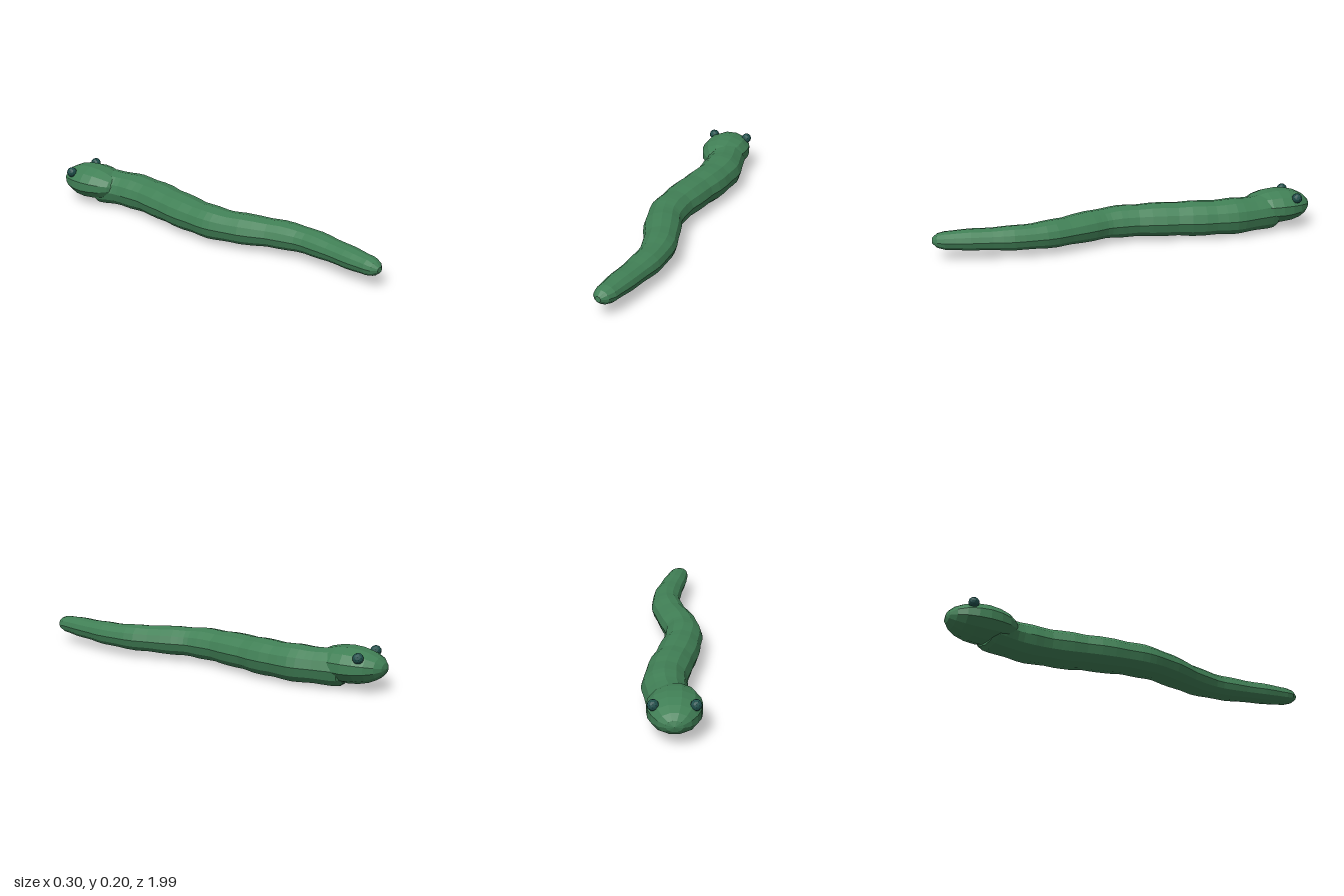
import * as THREE from 'three';

const SIDES = 12, RINGS = 36;

// Spine stations: z, x, half width, half height
const SPINE = [
  [-0.77, 0.005, 0.104, 0.09], [-0.66, 0.03, 0.105, 0.091], [-0.55, 0.039, 0.107, 0.091],
  [-0.4, 0.024, 0.106, 0.09], [-0.2, -0.02, 0.104, 0.086], [0, -0.052, 0.096, 0.081],
  [0.1, -0.05, 0.094, 0.078], [0.2, -0.028, 0.093, 0.075], [0.4, 0.027, 0.084, 0.068],
  [0.55, 0.037, 0.075, 0.062], [0.7, 0.015, 0.069, 0.056], [0.85, -0.016, 0.061, 0.05],
  [0.93, -0.031, 0.056, 0.046],
];

// Closed skin through elliptical rings turned to follow the spine
function loft(rings) {
  const pos = [], index = [];
  for (const { x, y, z, w, h, yaw } of rings) {
    for (let j = 0; j < SIDES; j++) {
      const a = (j / SIDES) * Math.PI * 2, u = Math.cos(a) * w;
      pos.push(x + u * Math.cos(yaw), y + Math.sin(a) * h, z - u * Math.sin(yaw));
    }
  }
  for (let i = 0; i < rings.length - 1; i++) {
    for (let j = 0; j < SIDES; j++) {
      const a = i * SIDES + j, b = i * SIDES + (j + 1) % SIDES;
      index.push(a, b, a + SIDES, b, b + SIDES, a + SIDES);
    }
  }
  // End caps
  const last = (rings.length - 1) * SIDES;
  for (let j = 1; j < SIDES - 1; j++) {
    index.push(0, j + 1, j, last, last + j, last + j + 1);
  }
  const g = new THREE.BufferGeometry();
  g.setAttribute('position', new THREE.Float32BufferAttribute(pos, 3));
  g.setIndex(index);
  g.computeVertexNormals();
  return g;
}

function bodyGeometry() {
  const path = new THREE.CatmullRomCurve3(SPINE.map(([z, x]) => new THREE.Vector3(x, 0.1, z)));
  const size = new THREE.CatmullRomCurve3(SPINE.map(([, , w, h]) => new THREE.Vector3(w, h, 0)));
  const rings = [];
  for (let i = 0; i <= RINGS; i++) {
    const t = i / RINGS, p = path.getPoint(t), s = size.getPoint(t), d = path.getTangent(t);
    // Gentle swelling between the body's creases
    const bulge = 1 - 0.03 * Math.cos(((p.z - 0.13) / 0.195) * Math.PI * 2);
    rings.push({ x: p.x, y: p.y, z: p.z, w: s.x * bulge, h: s.y * bulge, yaw: Math.atan2(d.x, d.z) });
  }
  // Rounded neck end and blunt tail tip
  const neck = rings[0], tail = rings[RINGS];
  rings.unshift({ ...neck, x: neck.x - 0.005, z: neck.z - 0.02, w: neck.w * 0.85, h: neck.h * 0.85 });
  rings.push({ ...tail, x: -0.041, z: 0.966, w: 0.042, h: 0.035 });
  rings.push({ ...tail, x: -0.047, z: 0.99, w: 0.015, h: 0.014 });
  return loft(rings);
}

export function createModel() {
  const skin = new THREE.MeshStandardMaterial({ color: 0x418056, flatShading: true });
  skin.name = 'green skin';
  const eyeColor = new THREE.MeshStandardMaterial({ color: 0x20504c, flatShading: true });
  eyeColor.name = 'dark teal';

  const model = new THREE.Group();
  model.name = 'snake';
  const add = (name, geometry, material) => {
    const mesh = new THREE.Mesh(geometry, material);
    mesh.name = name;
    model.add(mesh);
    return mesh;
  };

  add('body', bodyGeometry(), skin);

  // Egg-shaped head with its poles along z
  const headShape = new THREE.SphereGeometry(1, SIDES, 10);
  headShape.rotateY(Math.PI / SIDES).rotateX(-Math.PI / 2);
  headShape.scale(0.131, 0.09, 0.185);
  const head = add('head', headShape, skin);
  head.position.set(-0.008, 0.12, -0.815);

  // Eyes on the upper sides of the head
  for (const side of [-1, 1]) {
    const eye = add(side > 0 ? 'leftEye' : 'rightEye', new THREE.IcosahedronGeometry(0.027, 1), eyeColor);
    eye.position.set(-0.008 + side * 0.095, 0.176, -0.897);
  }
  return model;
}
